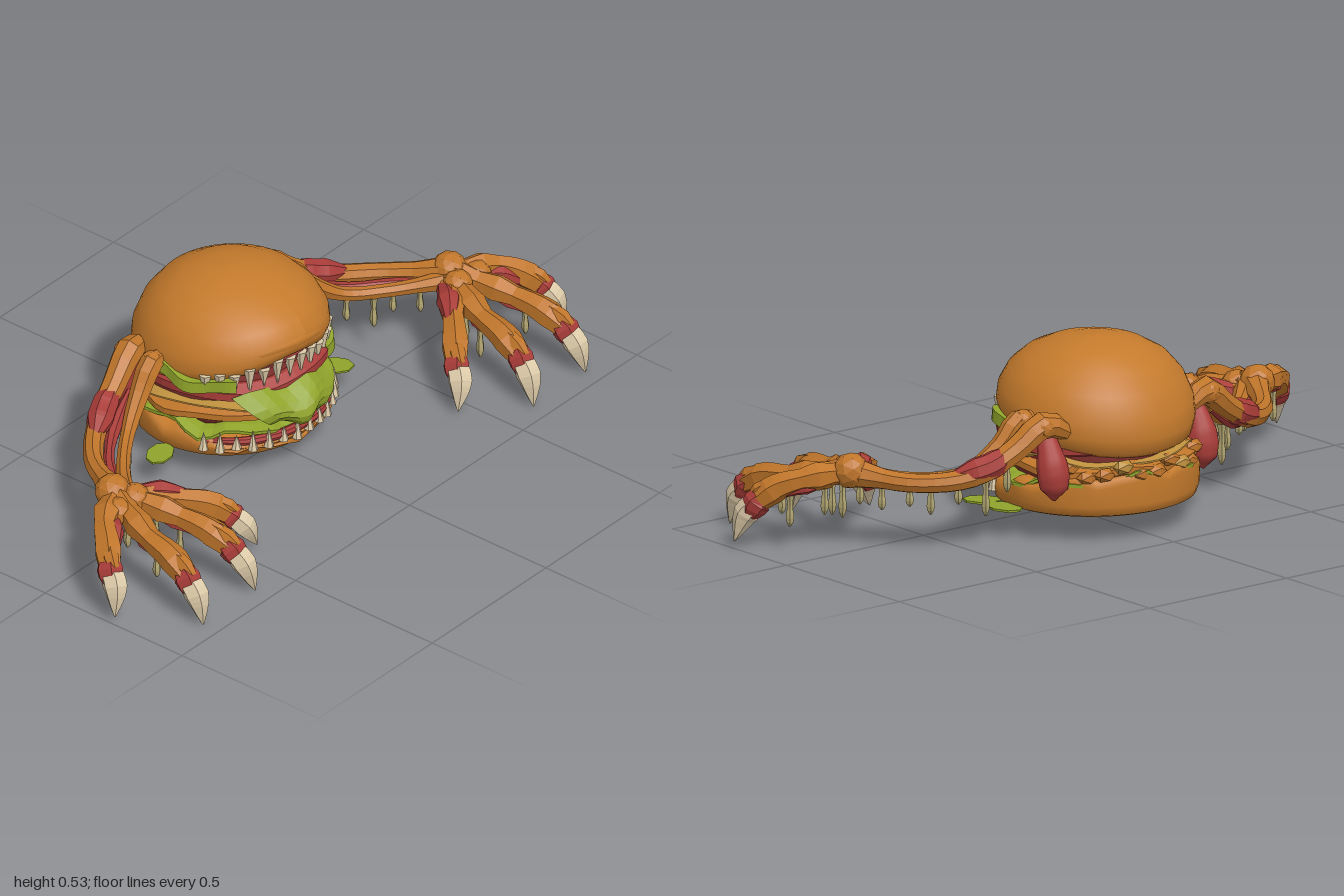
import * as THREE from 'three';

const mat = (name, color, o = {}) => Object.assign(new THREE.MeshStandardMaterial({ color, ...o }), { name });
const V = (x, y, z) => new THREE.Vector3(x, y, z);
const CZ = -0.155; // depth of the burger axis

export function createModel() {
  const root = new THREE.Group();
  root.name = 'burgerMonster';
  const M = {
    bun: mat('bun', 0xc47a2c),
    limb: mat('limbSkin', 0xbf752a, { flatShading: true }),
    red: mat('rawFlesh', 0xa83c38, { flatShading: true }),
    sac: mat('smoothFlesh', 0xa83c38),
    green: mat('lettuce', 0x8fa32a, { flatShading: true, side: THREE.DoubleSide }),
    bone: mat('clawBone', 0xdccaa8, { flatShading: true }),
    drip: mat('dripSauce', 0xb3a672, { flatShading: true }),
    cheese: mat('cheese', 0xc0923f, { flatShading: true }),
    dark: mat('mouthDark', 0x7d2d2a),
  };
  const add = (name, geo, m, parent = root) => {
    const mesh = new THREE.Mesh(geo, m);
    mesh.name = name;
    parent.add(mesh);
    return mesh;
  };
  const warp = (geo, rule) => {
    const p = geo.attributes.position, v = V(0, 0, 0);
    for (let i = 0; i < p.count; i++) {
      v.fromBufferAttribute(p, i);
      rule(v, Math.atan2(v.x, v.z));
      p.setXYZ(i, v.x, v.y, v.z);
    }
    geo.computeVertexNormals();
    return geo;
  };
  const lathe = (pts, seg = 48) => new THREE.LatheGeometry(pts.map(([x, y]) => new THREE.Vector2(x, y)), seg);

  // Tapered tube: radii are spread evenly along the path
  const limb = (name, pts, radii, m, parent, sides = 7, seg = 14) => {
    const curve = new THREE.CatmullRomCurve3(pts);
    const geo = new THREE.TubeGeometry(curve, seg, 1, sides);
    const p = geo.attributes.position, v = V(0, 0, 0);
    for (let i = 0; i < p.count; i++) {
      const u = Math.floor(i / (sides + 1)) / seg;
      const k = u * (radii.length - 1), a = Math.min(Math.floor(k), radii.length - 2);
      const r = THREE.MathUtils.lerp(radii[a], radii[a + 1], k - a);
      const c = curve.getPointAt(u);
      v.fromBufferAttribute(p, i).sub(c).multiplyScalar(r).add(c);
      p.setXYZ(i, v.x, v.y, v.z);
    }
    geo.computeVertexNormals();
    return add(name, geo, m, parent);
  };

  // Top bun: dome with its rim lifted over the mouth and drooping at the back
  const lift = (x, z) => 0.045 * Math.max(0, z / 0.28) * Math.exp(-(((x + 0.06) / 0.16) ** 2));
  const top = warp(lathe([[0.0, 0.3], [0.2, 0.29], [0.25, 0.285], [0.272, 0.3], [0.281, 0.335], [0.276, 0.38],
    [0.25, 0.435], [0.205, 0.482], [0.14, 0.518], [0.07, 0.536], [0, 0.54]]), (v) => {
    const low = (0.54 - v.y) / 0.25;
    v.y += low * ((v.z > 0 ? 0.14 : 0.18) * v.z + lift(v.x, v.z));
  });
  add('topBun', top, M.bun).position.z = CZ;
  const brow = [-0.95, -0.55, -0.15, 0.25, 0.7].map((a, i) =>
    V(0.262 * Math.sin(a), [0.37, 0.405, 0.412, 0.395, 0.35][i], CZ + 0.262 * Math.cos(a)));
  limb('browRidge', brow, [0.003, 0.018, 0.022, 0.018, 0.003], M.bun, root, 10, 24);

  // Bottom bun with a torn rim, higher at the back
  const bottom = warp(lathe([[0, 0.078], [0.262, 0.078], [0.276, 0.084], [0.284, 0.11], [0.285, 0.135],
    [0.28, 0.155], [0.262, 0.162], [0, 0.16]]), (v, a) => {
    if (v.y > 0.13) v.y += -0.15 * v.z + 0.008 * Math.sin(a * 9) + 0.005 * Math.sin(a * 17);
    v.x *= 1.05;
  });
  add('bottomBun', bottom, M.bun).position.z = CZ;

  // Fillings: wavy rounded discs, slightly wider than deep
  const layer = (name, m, r, y, h, wave, n, ruffle = 0, shift = 0, tilt = 0) => {
    const geo = warp(lathe([[0, y - h], [r * 0.9, y - h], [r, y - h * 0.4], [r, y + h * 0.4], [r * 0.9, y + h], [0, y + h]]), (v, a) => {
      const rr = Math.hypot(v.x, v.z) / r, k = 1 + ruffle * Math.sin(a * (n + 2)) * rr;
      v.y += rr * wave * (Math.sin(a * n) + 0.5 * Math.sin(a * (2 * n - 1) + 1)) + tilt * v.z;
      v.x *= k * 1.05;
      v.z *= k;
    });
    add(name, geo, m).position.z = CZ + shift;
  };
  layer('mouthLining', M.dark, 0.245, 0.25, 0.11, 0, 1);
  layer('lowerLettuce', M.green, 0.278, 0.165, 0.012, 0.014, 7, 0.035, 0, -0.08);
  layer('lowerPatty', M.limb, 0.274, 0.203, 0.023, 0.006, 5, 0.02);
  layer('cheeseSlice', M.cheese, 0.274, 0.232, 0.006, 0.012, 4, 0.03);
  layer('tomato', M.red, 0.266, 0.272, 0.03, 0.006, 3, 0.01, 0.014, 0.05);

  // Upper lettuce shows at the two sides of the mouth only
  for (const [start, length] of [[0.42, 1.2], [-1.75, 0.95]]) {
    const leaf = warp(new THREE.CylinderGeometry(0.282, 0.285, 0.034, 18, 2, false, start, length), (v, a) => {
      v.y += 0.326 + 0.012 * Math.sin(a * 7 + 1) - 0.1 * v.z;
      const k = 1 + 0.02 * Math.sin(a * 13);
      v.x *= k * 1.04;
      v.z *= k;
    });
    add('upperLettuce', leaf, M.green).position.z = CZ;
  }

  // Lettuce tongue hanging out of the mouth
  const tongue = warp(new THREE.PlaneGeometry(1, 1, 10, 6), (v) => {
    const u = v.x * 2, t = 0.5 - v.y;
    v.set(-0.04 + u * (0.185 - 0.09 * t * t) + 0.01 * t,
      0.3 - 0.125 * t + 0.01 * Math.sin(u * 6) - 0.02 * u * u * (1 - t),
      0.1 + 0.085 * Math.sin(t * 2.3) - 0.06 * u * u + 0.006 * Math.sin(u * 7 + t * 4));
  });
  add('lettuceTongue', tongue, M.green);

  // Gums and teeth
  const arc = (a, r, y) => V(r * Math.sin(a) * 1.04, y, CZ + r * Math.cos(a));
  const span = (r, y, drop) => [-1.1, -0.65, -0.2, 0.3, 0.85].map((a) => arc(a, r, y - drop * Math.abs(a + 0.2)));
  limb('upperGum', span(0.25, 0.367, 0.035), [0.008, 0.018, 0.02, 0.018, 0.008], M.red, root, 8, 20);
  limb('lowerGum', span(0.278, 0.13, 0), [0.008, 0.014, 0.014, 0.014, 0.008], M.red, root, 8, 20);
  for (let i = 0; i < 13; i++) {
    const a = -1.12 + i * 0.155, vary = Math.sin(i * 2.7);
    const up = new THREE.ConeGeometry(0.019, 0.076 + 0.014 * vary, 6).rotateX(Math.PI);
    add('upperTooth', up, M.bone).position.copy(arc(a, 0.266, 0.334 - 0.03 * Math.abs(a + 0.2)));
  }
  for (let i = 0; i < 15; i++) {
    const low = new THREE.ConeGeometry(0.015, 0.058 + 0.012 * Math.sin(i * 2.3), 6);
    add('lowerTooth', low, M.bone).position.copy(arc(-1.12 + i * 0.16, 0.288, 0.137));
  }

  // Torn crust lumps round the back
  for (let i = 0; i < 13; i++) {
    const lump = add('crustLump', new THREE.IcosahedronGeometry(0.026, 0), i % 4 ? M.limb : M.cheese);
    lump.position.copy(arc(2.0 + i * 0.19, 0.268, 0.205 + 0.016 * Math.sin(i * 2)));
    lump.scale.set(1.3, 0.85, 1);
  }

  // Fallen leaves lying flat
  for (const [x, z, sx, sz, r] of [[0.32, -0.14, 0.042, 0.06, 0.1], [0.32, -0.04, 0.04, 0.055, 0.7], [-0.34, -0.13, 0.055, 0.038, 0.3]]) {
    const leaf = add('fallenLeaf', new THREE.CylinderGeometry(1, 1, 0.006, 8), M.green);
    leaf.scale.set(sx, 1, sz);
    leaf.rotation.y = r;
    leaf.position.set(x, 0.086, z);
  }

  // Arms, built once for each side
  for (const s of [1, -1]) {
    const arm = new THREE.Group();
    arm.name = s > 0 ? 'leftArm' : 'rightArm';
    root.add(arm);
    const P = (list) => list.map(([x, y, z]) => V(x * s, y, z));

    limb('outerArmBone', P([[0.2, 0.31, -0.3], [0.29, 0.35, -0.28], [0.38, 0.29, -0.262], [0.5, 0.225, -0.225],
      [0.63, 0.207, -0.13], [0.74, 0.225, 0.04]]), [0.02, 0.042, 0.036, 0.033, 0.03, 0.028, 0.03, 0.048], M.limb, arm, 8, 20);
    limb('innerArmBone', P([[0.22, 0.32, -0.2], [0.3, 0.35, -0.19], [0.37, 0.28, -0.18], [0.47, 0.21, -0.14],
      [0.58, 0.197, -0.065], [0.71, 0.215, 0.05]]), [0.015, 0.036, 0.028, 0.021, 0.02, 0.021, 0.03], M.limb, arm, 7, 20);
    limb('armMuscle', P([[0.37, 0.3, -0.26], [0.45, 0.252, -0.242], [0.56, 0.222, -0.188]]),
      [0.012, 0.039, 0.04, 0.012], M.red, arm, 8);
    limb('innerMuscle', P([[0.36, 0.27, -0.225], [0.48, 0.205, -0.185], [0.6, 0.19, -0.1], [0.7, 0.2, 0.02]]),
      [0.008, 0.022, 0.015, 0.02, 0.008], M.red, arm);
    const knobs = [[0.3, 0.346, -0.285, 0.037], [0.3, 0.346, -0.195, 0.034], [0.74, 0.23, 0.03, 0.052], [0.71, 0.215, 0.085, 0.045], [0.79, 0.212, 0.09, 0.042]];
    for (const [x, y, z, r] of knobs)
      add('jointKnob', new THREE.IcosahedronGeometry(r, 1), M.limb, arm).position.set(x * s, y, z);
    limb('fleshSac', P([[0.268, 0.335, -0.25], [0.272, 0.27, -0.28], [0.272, 0.2, -0.298], [0.272, 0.13, -0.3]]),
      [0.014, 0.028, 0.036, 0.045, 0.047, 0.04, 0.004], M.sac, arm, 14, 18);

    // Fingers: root, middle, end and claw tip
    const fingers = [
      [[0.74, 0.225, 0.04], [0.86, 0.21, 0.1], [0.945, 0.145, 0.19], [0.988, 0.022, 0.245]],
      [[0.75, 0.222, 0.06], [0.805, 0.185, 0.22], [0.83, 0.135, 0.375], [0.84, 0.006, 0.445]],
      [[0.72, 0.222, 0.06], [0.665, 0.185, 0.21], [0.635, 0.135, 0.375], [0.612, 0.006, 0.445]],
      [[0.72, 0.212, 0.05], [0.59, 0.185, 0.17], [0.5, 0.13, 0.255], [0.442, 0.018, 0.31]],
    ];
    for (const f of fingers) {
      const [a, b, c, d] = P(f);
      const mid = b.clone().lerp(c, 0.55).add(V(0, 0.012, 0));
      limb('finger', [a, b, mid, c], [0.038, 0.032, 0.042, 0.032, 0.037, 0.042, 0.034], M.limb, arm, 6, 12);
      limb('fingertipFlesh', [mid.clone().lerp(c, 0.75), c, c.clone().lerp(d, 0.36)], [0.03, 0.041, 0.037, 0.024], M.red, arm, 6, 6);
      // Skin ridge over the fingertip
      limb('nailFold', [mid.clone().add(V(0, 0.018, 0)), c.clone().add(V(0, 0.022, 0.008)), c.clone().lerp(d, 0.25).add(V(0, 0.01, 0.028))],
        [0.018, 0.024, 0.004], M.limb, arm, 6, 6);
      limb('claw', [c, c.clone().lerp(d, 0.4).add(V(0, 0.008, 0.012)), d], [0.022, 0.036, 0.037, 0.028, 0.016, 0.002], M.bone, arm, 6, 10);
      limb('fingerTendon', [a.clone().lerp(b, 0.3).add(V(0, -0.022, 0)), b.clone().add(V(0, -0.02, 0)), mid.clone().add(V(0, -0.028, 0))],
        [0.008, 0.027, 0.008], M.red, arm, 6, 6);
    }
    limb('thumbWeb', P([[0.69, 0.205, 0.05], [0.63, 0.21, 0.12], [0.57, 0.192, 0.175]]), [0.02, 0.036, 0.014], M.red, arm);
    limb('outerWeb', P([[0.8, 0.2, 0.08], [0.86, 0.19, 0.13], [0.9, 0.165, 0.17]]), [0.016, 0.034, 0.014], M.red, arm);

    // Sauce drips under the arm and hand
    const drips = [[0.36, 0.26, -0.2, 0.11], [0.43, 0.21, -0.19, 0.12], [0.48, 0.2, -0.13, 0.08], [0.54, 0.19, -0.08, 0.1],
      [0.6, 0.19, -0.06, 0.07], [0.66, 0.19, -0.01, 0.08], [0.77, 0.19, 0.11, 0.1], [0.68, 0.18, 0.14, 0.12],
      [0.6, 0.17, 0.16, 0.09], [0.81, 0.16, 0.25, 0.09], [0.66, 0.16, 0.21, 0.11], [0.88, 0.17, 0.13, 0.1]];
    for (const [x, y, z, len] of drips)
      limb('drip', P([[x, y, z], [x, y - len * 0.6, z], [x, y - len, z]]), [0.015, 0.01, 0.008, 0.009, 0.012, 0.012, 0.003], M.drip, arm, 5, 8);
  }
  return root;
}
